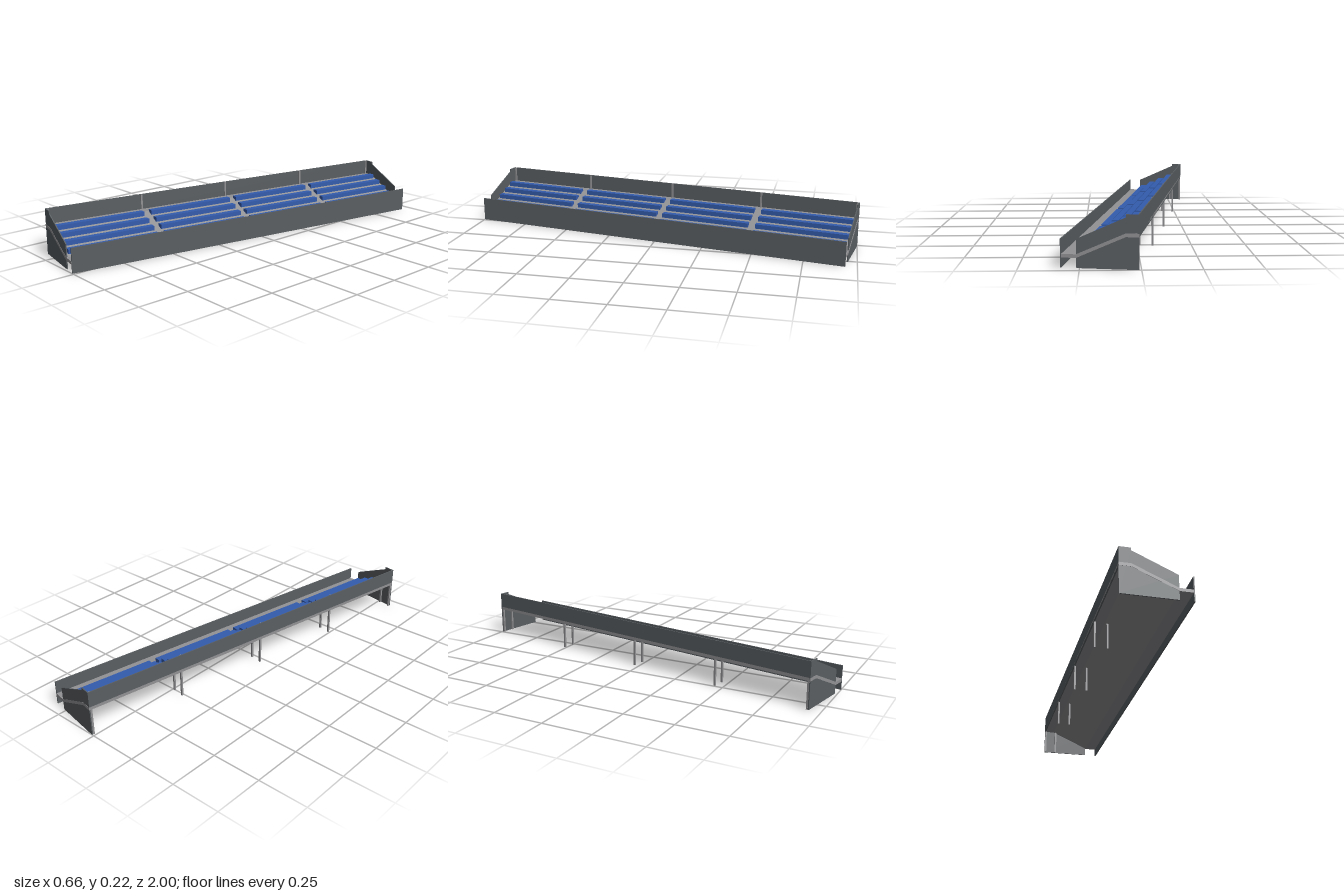
import * as THREE from 'three';

export function createModel() {
  const group = new THREE.Group();
  group.name = 'grandstand';

  const mat = (name, color) => Object.assign(new THREE.MeshStandardMaterial({ color }), { name });
  const panel = mat('dark grey panel', 0x5a5f62);
  const concrete = mat('light grey concrete', 0x929295);
  const seatBlue = mat('seat blue', 0x345cae);

  const HALF_W = 0.162, HALF_L = 0.987, T = 0.005;

  const add = (name, geometry, material, x = 0, y = 0, z = 0) => {
    const mesh = new THREE.Mesh(geometry, material);
    mesh.name = name;
    mesh.position.set(x, y, z);
    group.add(mesh);
  };
  // side outline (x across the stand, y up) extruded along its length
  const extrude = (points, depth) => new THREE.ExtrudeGeometry(
    new THREE.Shape(points.map(([x, y]) => new THREE.Vector2(x, y))),
    { depth, bevelEnabled: false });

  // raked deck, its ends just proud of the end walls
  const deckTop = [[-HALF_W, 0.148], [-0.108, 0.148], [0.096, 0.057], [HALF_W - T, 0.057]];
  const deck = [...deckTop, ...deckTop.map(([x, y]) => [x, y - 0.015]).reverse()];
  const deckLength = 2 * HALF_L + 0.002;
  add('deck', extrude(deck, deckLength), concrete, 0, 0, -deckLength / 2);

  // long walls
  add('frontWall', new THREE.BoxGeometry(T, 0.12, 2 * HALF_L), panel, HALF_W - T / 2, 0.06, 0);
  add('backWall', new THREE.BoxGeometry(T, 0.092, 2 * HALF_L), panel, -HALF_W + T / 2, 0.179, 0);

  // stepped end walls
  const end = [[-HALF_W, 0], [0.095, 0], [0.095, 0.12], [-0.108, 0.212], [-0.108, 0.225], [-HALF_W, 0.225]];
  for (const z of [-HALF_L, HALF_L - T]) add('endWall', extrude(end, T), panel, 0, 0, z);

  // support posts: tall ones along the back wall, short ones under the deck
  for (const z of [-0.977, -0.49, 0, 0.49, 0.977]) {
    add('backPost', new THREE.BoxGeometry(0.009, 0.224, 0.009), concrete, -0.157, 0.112, z);
    add('deckPost', new THREE.BoxGeometry(0.009, 0.135, 0.009), concrete, -0.096, 0.0675, z);
  }

  // four rows of benches in four blocks, with aisles between
  const bench = new THREE.BoxGeometry(0.03, 0.022, 0.458);
  for (let row = 0; row < 4; row++) {
    for (const z of [-0.743, -0.247, 0.247, 0.743]) {
      add('bench', bench, seatBlue, -0.091 + row * 0.0535, 0.146 - row * 0.0227, z);
    }
  }

  // the whole stand is turned slightly
  group.rotation.y = -THREE.MathUtils.degToRad(9.9);
  const model = new THREE.Group();
  model.add(group);
  return model;
}
